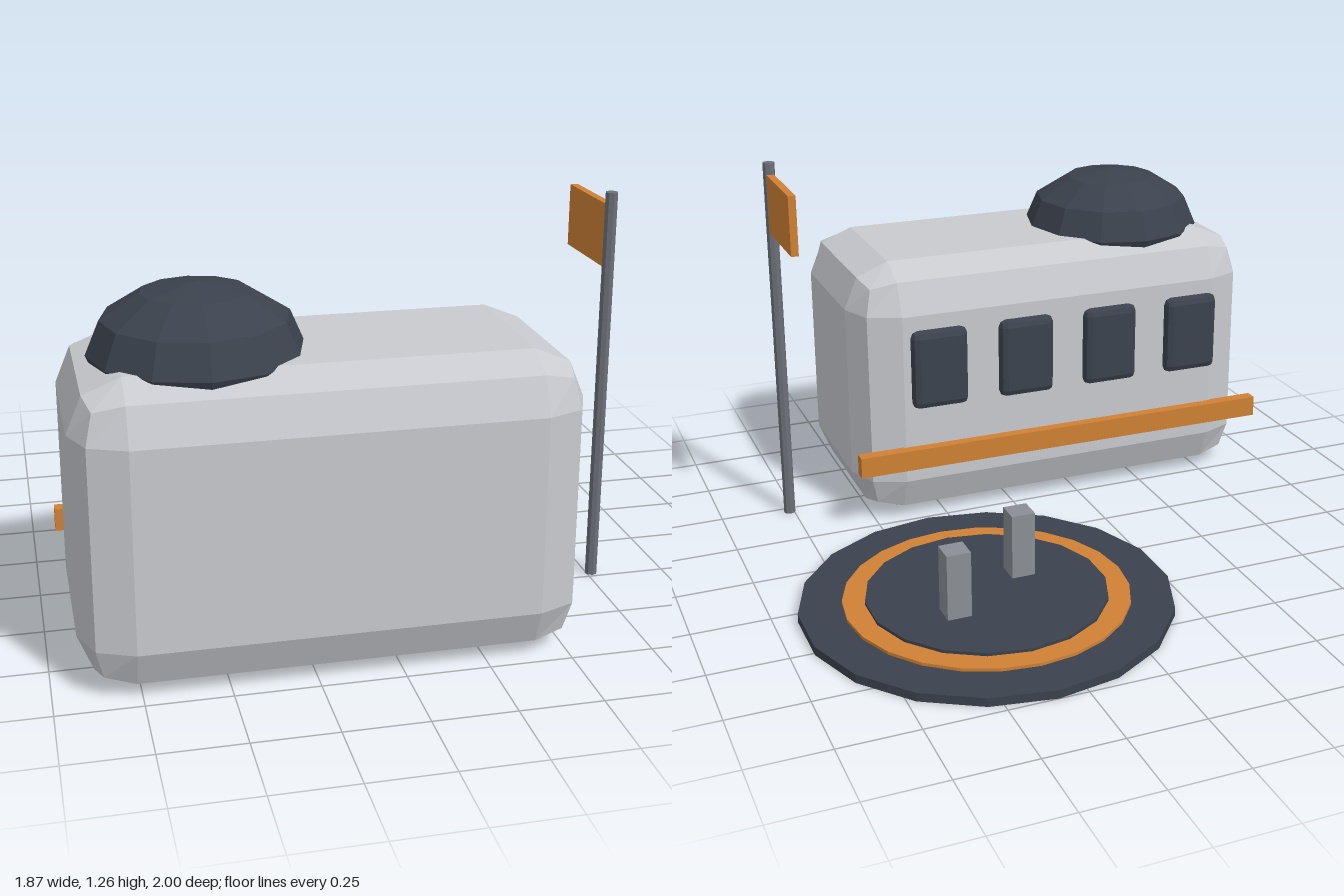
import * as THREE from 'three';
import { RoundedBoxGeometry } from 'three/addons/geometries/RoundedBoxGeometry.js';

const paint = (name, color) => new THREE.MeshStandardMaterial({ name, color, flatShading: true });

export function createModel() {
  const shell = paint('pale grey', 0xc8cacf);
  const dark = paint('dark slate', 0x3b424d);
  const orange = paint('orange', 0xd08134);
  const steel = paint('steel grey', 0x6c7178);
  const postGrey = paint('post grey', 0x8a8f95);

  const group = new THREE.Group();
  group.name = 'habitatStation';

  const add = (name, geometry, material, x, y, z) => {
    const mesh = new THREE.Mesh(geometry, material);
    mesh.name = name;
    mesh.position.set(x, y, z);
    group.add(mesh);
    return mesh;
  };
  const box = (w, h, d) => new THREE.BoxGeometry(w, h, d);
  const disc = (r, h, sides) => new THREE.CylinderGeometry(r, r, h, sides);

  // Cabin with two-step bevelled edges
  add('cabin', new RoundedBoxGeometry(1.475, 0.91, 0.768, 1, 0.155), shell, -0.183, 0.455, 0.616);

  // Squashed faceted dome, sunk halfway into the roof
  add('roofDome', new THREE.SphereGeometry(0.315, 12, 6), dark, -0.53, 0.902, 0.612).scale.y = 0.63;

  // Row of bevelled windows and a rail on the back wall
  for (let i = 0; i < 4; i++) {
    add('window', new RoundedBoxGeometry(0.2, 0.28, 0.06, 1, 0.025), dark, -0.675 + i * 0.316, 0.563, 0.232);
  }
  add('rail', box(1.51, 0.072, 0.042), orange, -0.185, 0.248, 0.217);

  // Landing pad: stepped discs, the middle one showing as a ring
  const padX = 0.343, padZ = -0.407;
  add('padBase', disc(0.593, 0.028, 18), dark, padX, 0.014, padZ);
  add('padRing', disc(0.455, 0.016, 24), orange, padX, 0.03, padZ);
  add('padCentre', disc(0.385, 0.026, 18), dark, padX, 0.035, padZ);

  // Two posts standing on the pad
  for (const side of [-1, 1]) {
    add('padPost', box(0.078, 0.23, 0.078), postGrey, padX + side * 0.139, 0.15, -0.42 - side * 0.088);
  }

  // Flag on a tall pole, flying toward the back
  add('flagPole', disc(0.02, 1.265, 8), steel, 0.765, 0.6325, 0.473);
  add('flag', box(0.025, 0.197, 0.3), orange, 0.765, 1.128, 0.313);

  return group;
}
